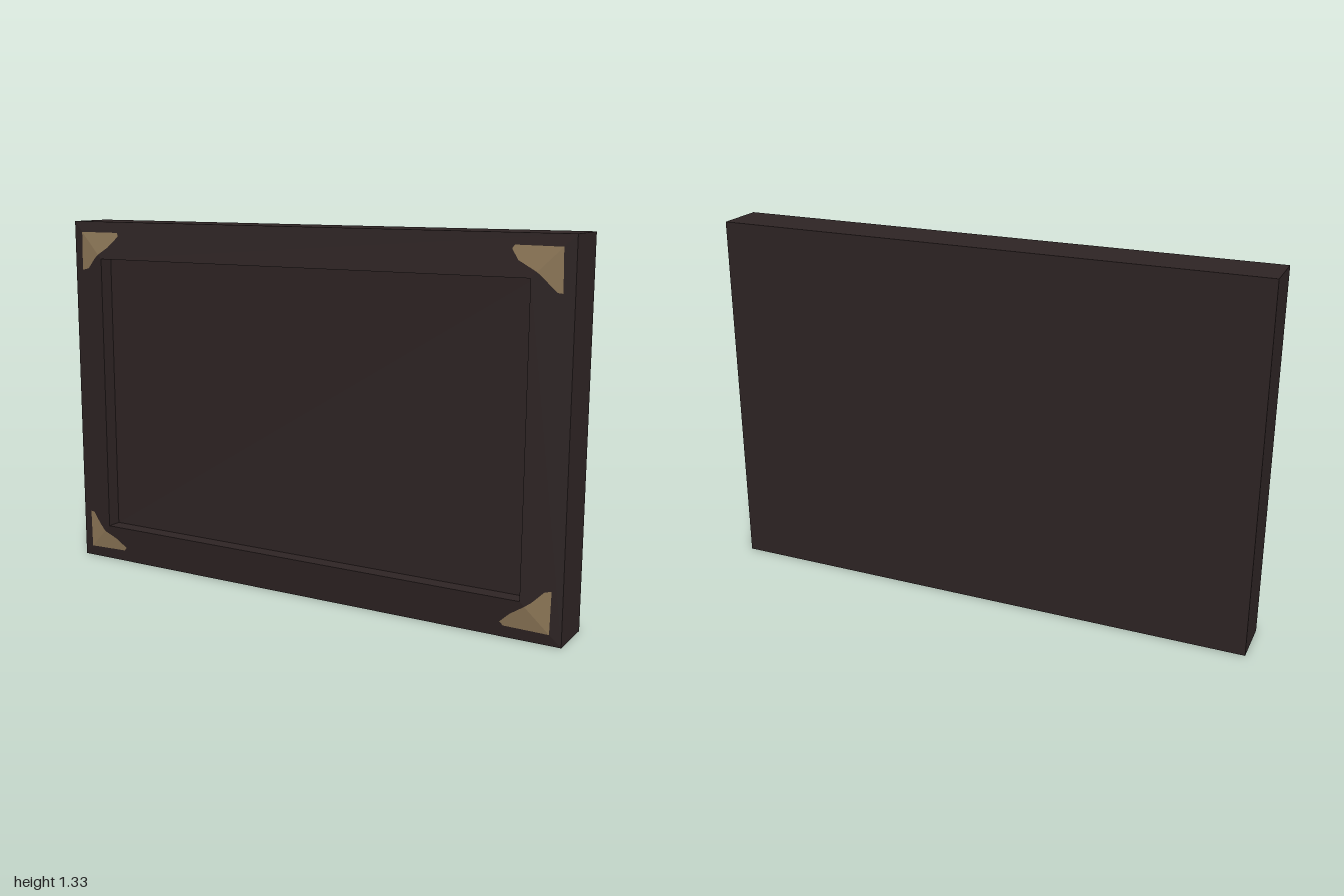
import * as THREE from 'three';

const W = 2, H = 1.333, BORDER = 0.14;
const Z_BACK = -0.1, Z_EDGE = 0.08, Z_LIP = 0.1, Z_PANEL = 0.043;

function flatGeometry(points) {
  const geometry = new THREE.BufferGeometry();
  geometry.setAttribute('position', new THREE.Float32BufferAttribute(points.flat(), 3));
  geometry.computeVertexNormals();
  return geometry;
}

// Rectangle inset by d from the outer edge, at depth z
function ring(d, z) {
  const x = W / 2 - d;
  return [[-x, d, z], [x, d, z], [x, H - d, z], [-x, H - d, z]];
}

// Mitred frame: outer side, sloping face and inner wall
function frameGeometry() {
  const rings = [ring(0, Z_BACK), ring(0, Z_EDGE), ring(BORDER, Z_LIP), ring(BORDER, Z_PANEL)];
  const points = [];
  for (let r = 0; r < rings.length - 1; r++) {
    const a = rings[r], b = rings[r + 1];
    for (let i = 0; i < 4; i++) {
      const j = (i + 1) % 4;
      points.push(a[i], a[j], b[j], a[i], b[j], b[i]);
    }
  }
  return flatGeometry(points);
}

// Corner ornament as a fan folded over the mitre; outline gives distances from the two outer edges
function ornamentGeometry(sx, sy, outline) {
  const place = ([dx, dy]) => [
    sx * (W / 2 - dx),
    sy > 0 ? H - dy : dy,
    Z_EDGE + (Z_LIP - Z_EDGE) * Math.min(dx, dy) / BORDER + 0.0015,
  ];
  const corner = place([0.04, 0.04]);
  const points = [];
  for (let i = 0; i < outline.length - 1; i++) {
    const a = place(outline[i]), b = place(outline[i + 1]);
    points.push(corner, ...(sx * sy > 0 ? [b, a] : [a, b]));
  }
  return flatGeometry(points);
}

export function createModel() {
  const wood = new THREE.MeshStandardMaterial({ color: 0x2e2424 });
  wood.name = 'dark wood';
  const gold = new THREE.MeshStandardMaterial({ color: 0x8e7858, side: THREE.DoubleSide });
  gold.name = 'dull gold';

  const model = new THREE.Group();
  model.name = 'pictureFrame';
  const add = (name, geometry, material) => {
    const mesh = new THREE.Mesh(geometry, material);
    mesh.name = name;
    model.add(mesh);
    return mesh;
  };

  add('frame', frameGeometry(), wood);

  // Recessed front panel and flat back
  add('panel', new THREE.PlaneGeometry(W - 2 * BORDER, H - 2 * BORDER), wood)
    .position.set(0, H / 2, Z_PANEL);
  const back = add('back', new THREE.PlaneGeometry(W, H), wood);
  back.position.set(0, H / 2, Z_BACK);
  back.rotation.y = Math.PI;

  // Worn corner ornaments, each running from its upright edge to its level edge
  const ornaments = [
    ['topRightOrnament', -1, 1, [[0.037, 0.185], [0.07, 0.178], [0.105, 0.14], [0.124, 0.124], [0.17, 0.095], [0.214, 0.055], [0.212, 0.04]]],
    ['topLeftOrnament', 1, 1, [[0.037, 0.184], [0.055, 0.182], [0.1, 0.138], [0.12, 0.12], [0.185, 0.085], [0.208, 0.05], [0.2, 0.038]]],
    ['bottomRightOrnament', -1, 0, [[0.037, 0.185], [0.055, 0.183], [0.09, 0.14], [0.115, 0.115], [0.17, 0.09], [0.214, 0.058], [0.205, 0.045]]],
    ['bottomLeftOrnament', 1, 0, [[0.037, 0.188], [0.06, 0.182], [0.1, 0.142], [0.124, 0.124], [0.175, 0.09], [0.212, 0.055], [0.2, 0.042]]],
  ];
  for (const [name, sx, top, outline] of ornaments) {
    add(name, ornamentGeometry(sx, top ? 1 : -1, outline), gold);
  }
  return model;
}
